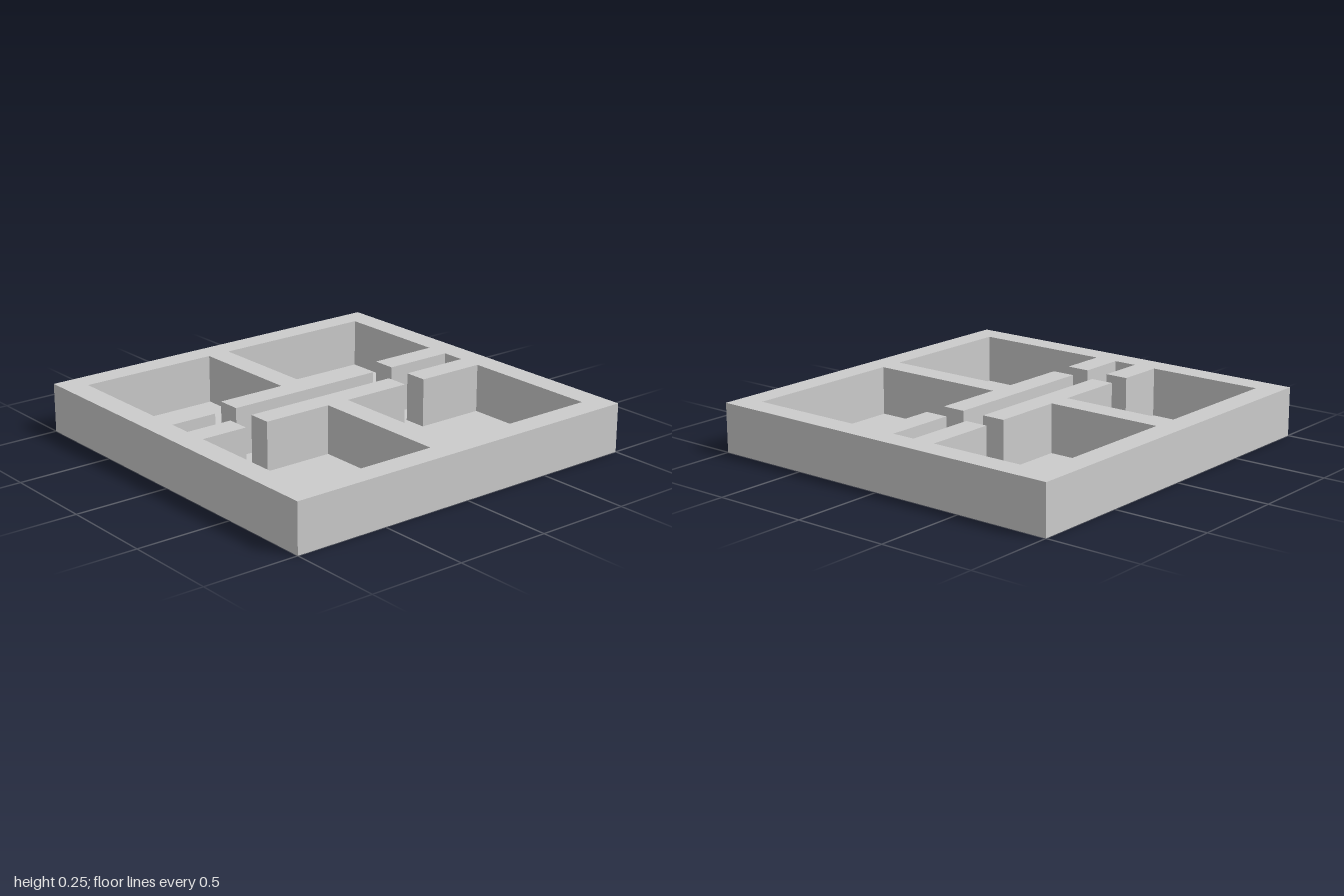
import * as THREE from 'three';

const HEIGHT = 0.255;
const U = 0.125; // planning grid: outlines below are in grid units (x, z)

// Outer edge, anticlockwise seen from above
const OUTER = [[-8, 8], [8, 8], [8, -8], [-8, -8]];

// Rooms, doorways and corridor as one outline, clockwise seen from above
const ROOMS = [
  // back rooms and their doorways
  [-7, -7], [-1, -7], [-1, -2], [-4, -2], [-4, -1], [3, -1], [3, -2], [0, -2],
  [0, -7], [7, -7], [7, -2], [4, -2], [4, -1],
  // corridor, right end in the plan
  [7, -1], [7, 0], [4, 0],
  // front rooms and their doorways
  [4, 1], [7, 1], [7, 7], [0, 7], [0, 1], [3, 1], [3, 0], [-4, 0], [-4, 1],
  [-1, 1], [-1, 7], [-7, 7], [-7, 1], [-5, 1],
  // corridor, left end in the plan
  [-5, 0], [-7, 0], [-7, -1], [-5, -1], [-5, -2], [-7, -2],
];

const toPoints = (outline) => outline.map(([x, z]) => new THREE.Vector2(x * U, -z * U));

// Flat horizontal sheet at height y, facing up
function sheet(shape, y) {
  return new THREE.ShapeGeometry(shape).rotateX(-Math.PI / 2).translate(0, y, 0);
}

// Upright faces along a closed outline
function uprights(outline) {
  const positions = [];
  outline.forEach(([ax, az], i) => {
    const [bx, bz] = outline[(i + 1) % outline.length];
    const a0 = [ax * U, 0, az * U], b0 = [bx * U, 0, bz * U];
    const a1 = [ax * U, HEIGHT, az * U], b1 = [bx * U, HEIGHT, bz * U];
    positions.push(...a0, ...b0, ...b1, ...a0, ...b1, ...a1);
  });
  const geometry = new THREE.BufferGeometry();
  geometry.setAttribute('position', new THREE.Float32BufferAttribute(positions, 3));
  geometry.computeVertexNormals();
  return geometry;
}

export function createModel() {
  const group = new THREE.Group();
  group.name = 'floorPlan';
  const material = new THREE.MeshStandardMaterial({ color: 0xcccccc, side: THREE.DoubleSide });
  const add = (name, geometry) => {
    const mesh = new THREE.Mesh(geometry, material);
    mesh.name = name;
    group.add(mesh);
  };

  // Wall tops: the full square with the rooms cut out
  const topShape = new THREE.Shape(toPoints(OUTER));
  topShape.holes.push(new THREE.Path(toPoints(ROOMS)));
  add('wallTops', sheet(topShape, HEIGHT));

  // Walls are hollow shells, open underneath
  add('outerWalls', uprights(OUTER));
  add('roomWalls', uprights(ROOMS));

  // Floor only inside the rooms
  add('floor', sheet(new THREE.Shape(toPoints(ROOMS)), 0));

  return group;
}
